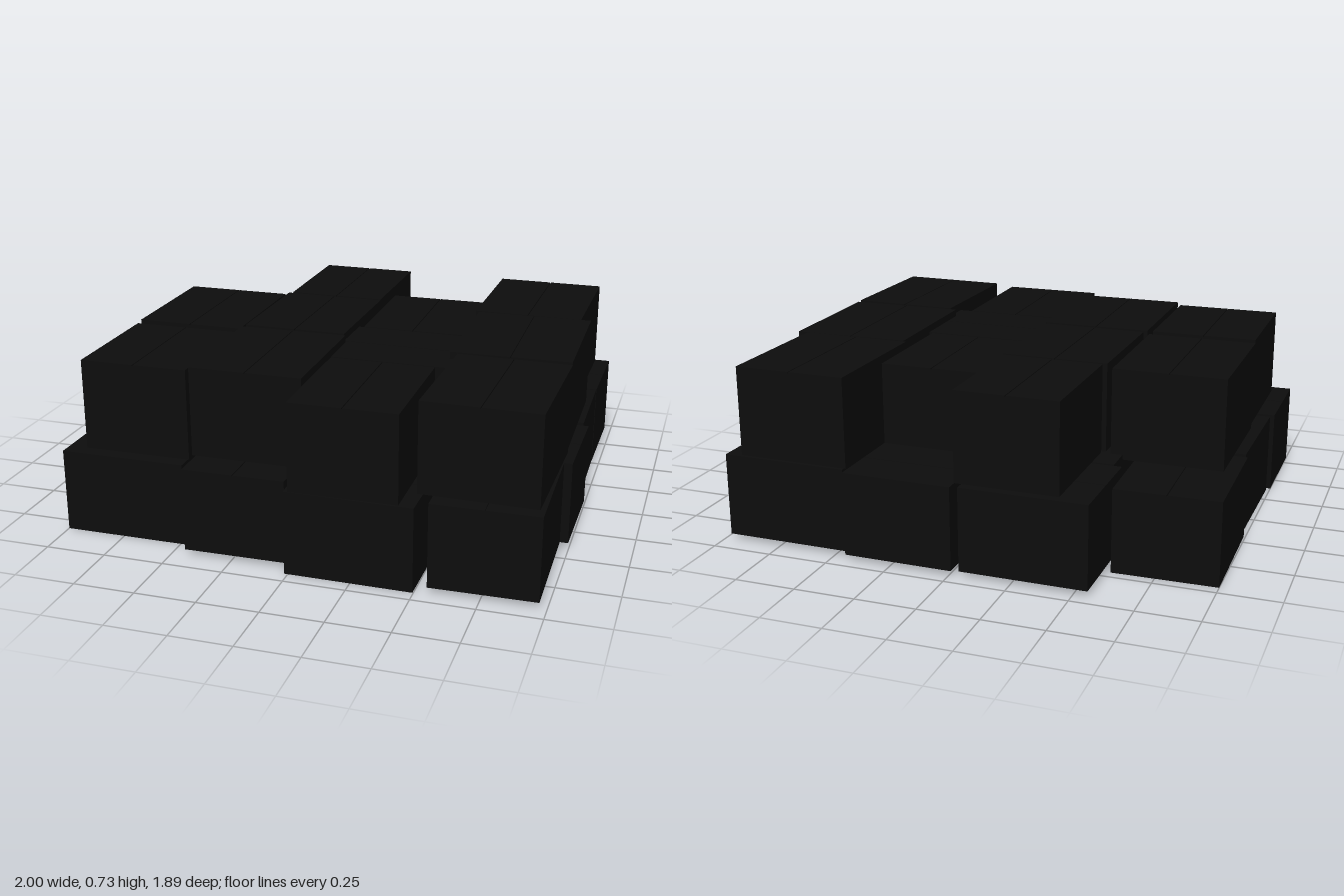
import * as THREE from 'three';

const material = new THREE.MeshStandardMaterial({ color: 0x0d0d0d });
const FLAP = 0.006; // thickness of a lid flap
const GAP = 0.004; // slit between the two flaps

// One closed carton: extents in x and z, height range, yaw in degrees,
// and the axis along which the slit between its flaps runs.
function carton(name, [x0, x1, z0, z1, yaw = 0, slit = 'z'], y0, y1) {
  const box = new THREE.Group();
  box.name = name;
  const turn = THREE.MathUtils.degToRad(yaw);
  const s = Math.abs(Math.sin(turn));
  const w = x1 - x0 - (z1 - z0) * s;
  const d = z1 - z0 - (x1 - x0) * s;
  const h = y1 - y0;

  const add = (part, sx, sy, sz, x, y, z) => {
    const mesh = new THREE.Mesh(new THREE.BoxGeometry(sx, sy, sz), material);
    mesh.name = part;
    mesh.position.set(x, y, z);
    box.add(mesh);
  };
  add('cartonBody', w, h - FLAP, d, 0, (h - FLAP) / 2, 0);
  for (const side of [-1, 1]) {
    const y = h - FLAP / 2;
    if (slit === 'z') add('lidFlap', (w - GAP) / 2, FLAP, d, side * (w + GAP) / 4, y, 0);
    else add('lidFlap', w, FLAP, (d - GAP) / 2, 0, y, side * (d + GAP) / 4);
  }
  box.position.set((x0 + x1) / 2, y0, (z0 + z1) / 2);
  box.rotation.y = turn;
  return box;
}

// Columns of cartons, each listed from back to front.
const lowerLayer = [
  { y: [0, 0.345], boxes: [
    [-1, -0.57, -0.71, -0.19, 0.8],
    [-0.985, -0.56, -0.16, 0.37, -0.6],
    [-1, -0.48, 0.39, 0.82, 0, 'x'],
  ] },
  { y: [0.022, 0.365], boxes: [
    [-0.56, -0.04, -0.945, -0.515, -0.4, 'x'],
    [-0.525, -0.005, -0.51, -0.075, 0.5, 'x'],
    [-0.49, -0.01, -0.075, 0.35, 0, 'x'],
    [-0.45, -0.025, 0.37, 0.9, 0.5],
  ] },
  { y: [0.022, 0.365], boxes: [[-0.015, 0.44, -0.95, -0.57, -0.6, 'x']] },
  { y: [0, 0.345], boxes: [
    [0.005, 0.44, -0.56, -0.03],
    [0.005, 0.44, -0.02, 0.51],
    [-0.015, 0.5, 0.515, 0.945, -0.5, 'x'],
  ] },
  { y: [0.022, 0.365], boxes: [
    [0.45, 0.975, -0.915, -0.485, -0.5, 'x'],
    [0.45, 0.975, -0.475, -0.045, 0.6, 'x'],
    [0.48, 1, -0.025, 0.405, -0.5, 'x'],
    [0.54, 0.97, 0.4, 0.93, 0.8],
  ] },
];

const upperLayer = [
  { y: [0.345, 0.72], boxes: [
    [-0.935, -0.475, -0.385, 0.185],
    [-0.925, -0.475, 0.235, 0.76, 0.3],
  ] },
  { y: [0.365, 0.733], boxes: [
    [-0.435, -0.01, -0.905, -0.38, -0.4],
    [-0.455, -0.01, -0.37, 0.165, -0.5],
    [-0.465, 0, 0.185, 0.755, 0.3],
  ] },
  { y: [0.345, 0.703], boxes: [
    [0.005, 0.44, -0.57, -0.05, 0.4],
    [-0.02, 0.49, -0.045, 0.385, -0.4, 'x'],
    [0, 0.435, 0.39, 0.937, 0.3],
  ] },
  { y: [0.365, 0.733], boxes: [
    [0.44, 0.91, -0.9, -0.325, -0.6],
    [0.455, 0.955, -0.325, 0.27, 0.8],
    [0.485, 0.96, 0.285, 0.865, -1.2],
  ] },
];

export function createModel() {
  const model = new THREE.Group();
  model.name = 'cartonStack';
  for (const [layerName, columns] of [['lowerLayer', lowerLayer], ['upperLayer', upperLayer]]) {
    const layer = new THREE.Group();
    layer.name = layerName;
    for (const { y, boxes } of columns) {
      for (const spec of boxes) layer.add(carton('carton', spec, ...y));
    }
    model.add(layer);
  }
  return model;
}
